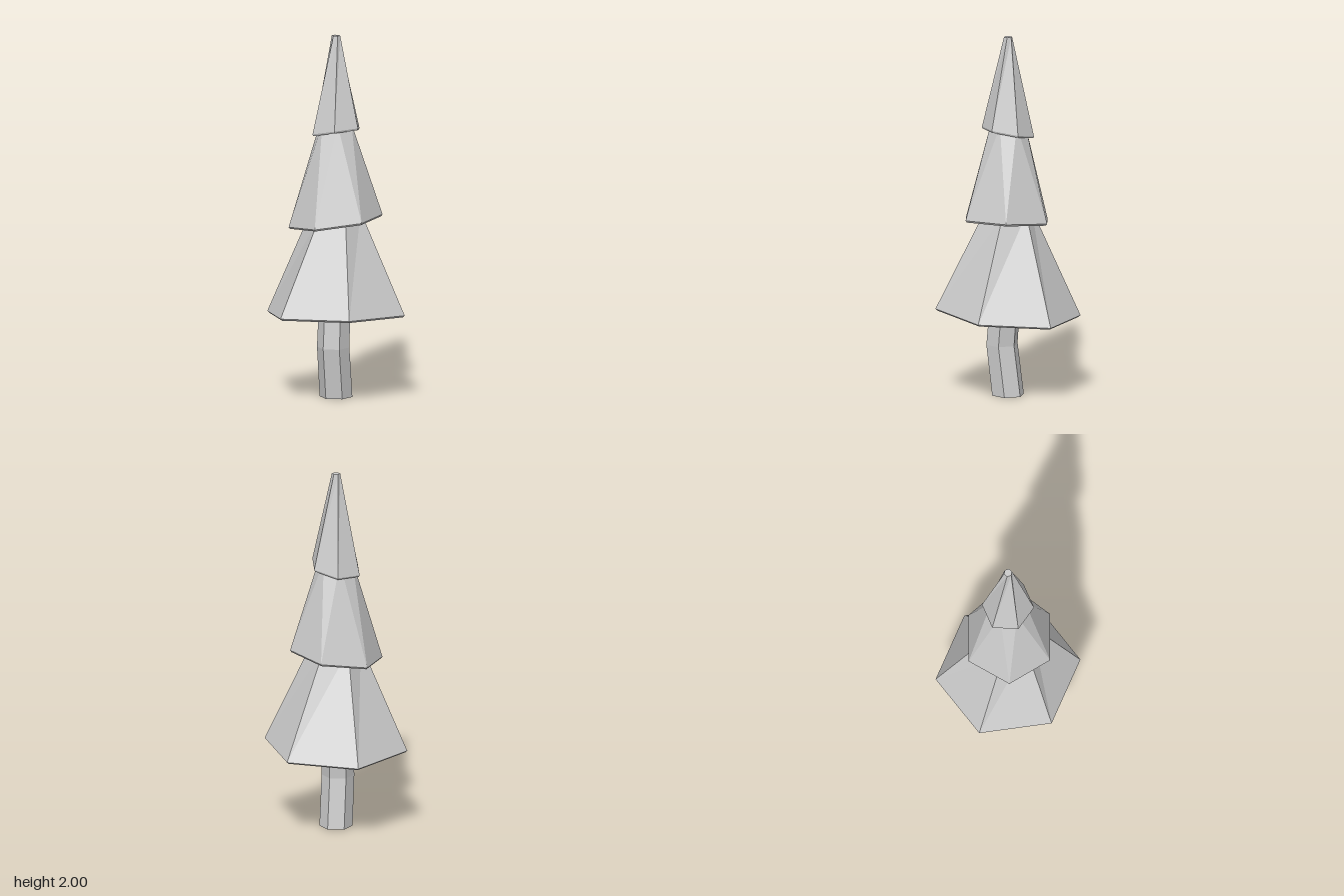
import * as THREE from 'three';

const SIDES = 6;
const material = new THREE.MeshStandardMaterial({ color: 0xcccccc, flatShading: true });

// Corner of a hexagonal ring; b and c tilt the ring along x and z.
function corner({ y, r, deg, x = 0, z = 0, b = 0, c = 0 }, i) {
  const a = THREE.MathUtils.degToRad(deg + (i * 360) / SIDES);
  const dx = r * Math.cos(a), dz = r * Math.sin(a);
  return [x + dx, y + b * dx + c * dz, z + dz];
}

// Skin a sequence of rings; a ring with r = 0 closes the end.
function loft(name, rings) {
  const pos = [];
  for (let k = 0; k < rings.length - 1; k++) {
    const lo = rings[k], hi = rings[k + 1];
    for (let i = 0; i < SIDES; i++) {
      const p0 = corner(lo, i), p1 = corner(lo, i + 1);
      const q0 = corner(hi, i), q1 = corner(hi, i + 1);
      if (lo.r > 0) pos.push(...p0, ...q0, ...p1);
      if (hi.r > 0) pos.push(...p1, ...q0, ...q1);
    }
  }
  const geometry = new THREE.BufferGeometry();
  geometry.setAttribute('position', new THREE.Float32BufferAttribute(pos, 3));
  geometry.computeVertexNormals();
  const mesh = new THREE.Mesh(geometry, material);
  mesh.name = name;
  return mesh;
}

// Hollow, tilted and slightly twisted skirt of foliage.
function tier(name, base, top, depth) {
  const ceiling = { ...base, y: base.y + depth, r: base.r * 0.43 };
  return loft(name, [
    { ...ceiling, r: 0 },
    ceiling,
    { ...base, r: base.r * 0.97, y: base.y - 0.01 }, // bevelled lip
    base,
    top,
    { ...top, r: 0 },
  ]);
}

export function createModel() {
  const tree = new THREE.Group();
  tree.name = 'tree';

  // Bent trunk
  tree.add(loft('trunk', [
    { y: 0, r: 0, deg: 30 },
    { y: 0, r: 0.09, deg: 30 },
    { y: 0.28, r: 0.089, deg: 30, x: -0.027, z: 0.026 },
    { y: 0.72, r: 0.085, deg: 30, x: 0, z: 0 },
    { y: 0.72, r: 0, deg: 30 },
  ]));

  // Foliage, from the bottom up
  tree.add(tier('lowerFoliage',
    { y: 0.461, r: 0.397, deg: -18.3, b: -0.02, c: 0.067 },
    { y: 1.03, r: 0.135, deg: -30 }, 0.19));
  tree.add(tier('middleFoliage',
    { y: 0.975, r: 0.256, deg: 18.4, x: -0.005, z: 0.006, b: 0.11, c: 0.076 },
    { y: 1.52, r: 0.092, deg: 46 }, 0.12));
  tree.add(tier('upperFoliage',
    { y: 1.47, r: 0.143, deg: -4.7, b: 0.06, c: 0.21 },
    { y: 2, r: 0.023, deg: -30 }, 0.07));

  return tree;
}
